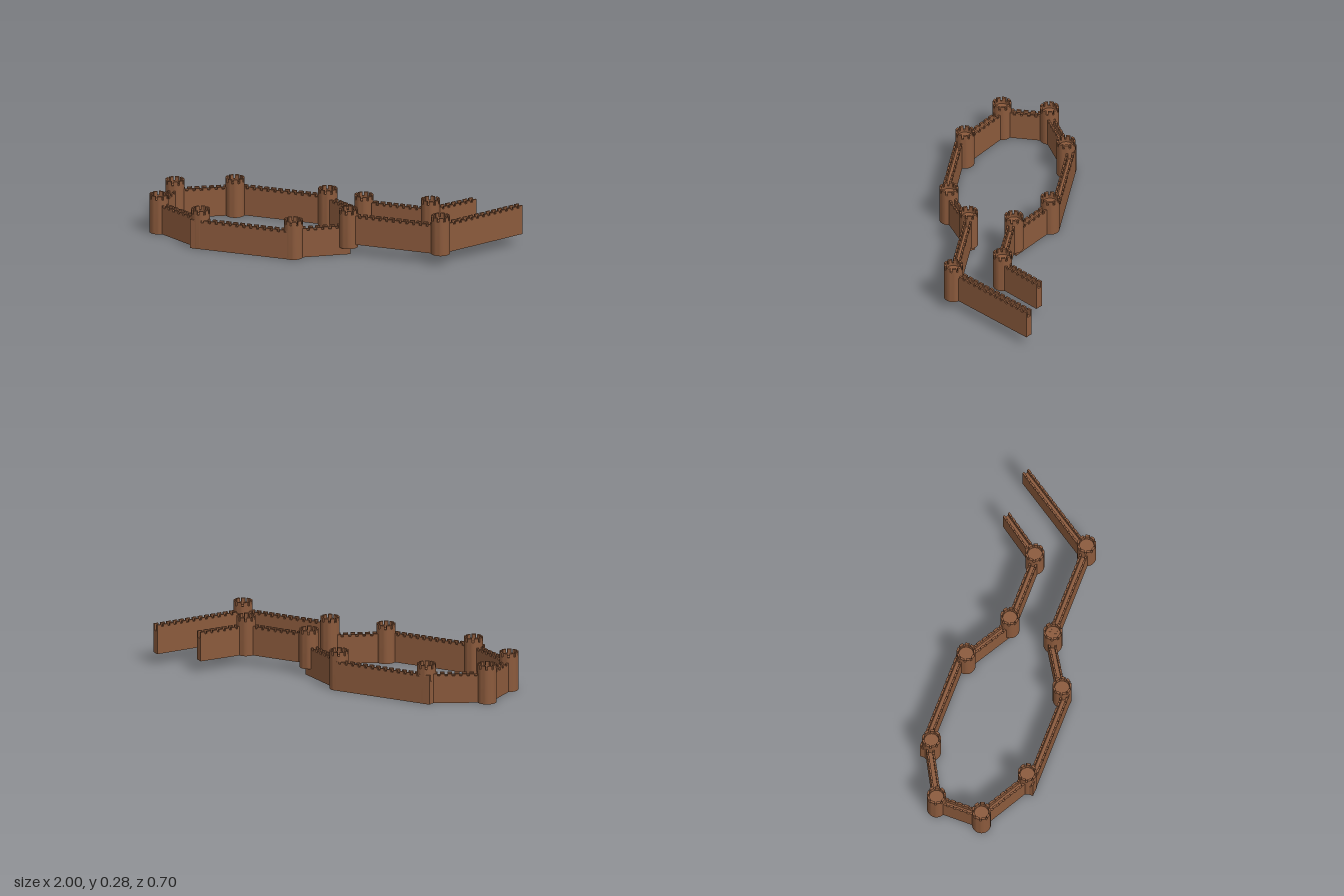
import * as THREE from 'three';
import { mergeGeometries, toCreasedNormals } from 'three/addons/utils/BufferGeometryUtils.js';

const stone = new THREE.MeshStandardMaterial({ color: 0x8b5a3c });
stone.name = 'brown stone';

const WIDTH = 0.043;    // wall thickness
const PARAPET = 0.011;  // parapet thickness
const WALL_H = 0.165;
const WALK_H = 0.128;   // walkway height above the wall base
const CRENEL = 0.012;   // depth of the wall notches
const RADIUS = 0.052;

// Straight wall with a sunken walkway and two crenellated parapets
function makeWall(name, [x0, z0], [x1, z1], base) {
  const length = Math.hypot(x1 - x0, z1 - z0);
  const h = WIDTH / 2, i = h - PARAPET, top = WALL_H - CRENEL;
  const section = new THREE.Shape([
    [-h, 0], [h, 0], [h, top], [i, top], [i, WALK_H], [-i, WALK_H], [-i, top], [-h, top],
  ].map(([x, y]) => new THREE.Vector2(x, y)));
  const parts = [new THREE.ExtrudeGeometry(section, { depth: length, bevelEnabled: false })];

  // Merlons: one at each end, evenly spaced between
  const gaps = Math.max(1, Math.round((length - 0.026) / 0.039));
  const merlon = 0.026;
  const pitch = (length - merlon) / gaps;
  for (let k = 0; k <= gaps; k++) {
    for (const side of [-1, 1]) {
      const block = new THREE.BoxGeometry(PARAPET, CRENEL, merlon);
      block.translate(side * (h - PARAPET / 2), top + CRENEL / 2, merlon / 2 + k * pitch);
      parts.push(block.toNonIndexed());
    }
  }
  const mesh = new THREE.Mesh(mergeGeometries(parts), stone);
  mesh.name = name;
  mesh.position.set(x0, base, z0);
  mesh.rotation.y = Math.atan2(x1 - x0, z1 - z0);
  return mesh;
}

// Round tower with a hollow top and a ring of merlons
function makeTower(name, [x, z], base) {
  const height = 0.217, notch = 0.022, floor = height - 0.037;
  const inner = RADIUS - 0.012, rim = height - notch, merlons = 9;
  const profile = [
    [0, 0], [RADIUS, 0], [RADIUS, rim], [inner, rim], [inner, floor], [0, floor],
  ].map(([r, y]) => new THREE.Vector2(r, y));
  const parts = [toCreasedNormals(new THREE.LatheGeometry(profile, 36), 0.6)];

  const step = (Math.PI * 2) / merlons, span = step * 0.7;
  for (let k = 0; k < merlons; k++) {
    const a = k * step;
    const sector = new THREE.Shape();
    sector.absarc(0, 0, RADIUS, a, a + span, false);
    sector.absarc(0, 0, inner, a + span, a, true);
    const block = new THREE.ExtrudeGeometry(sector, { depth: notch, bevelEnabled: false, curveSegments: 4 });
    block.rotateX(-Math.PI / 2).translate(0, rim, 0);
    parts.push(toCreasedNormals(block, 0.6));
  }
  const mesh = new THREE.Mesh(mergeGeometries(parts), stone);
  mesh.name = name;
  mesh.position.set(x, base, z);
  return mesh;
}

export function createModel() {
  const castle = new THREE.Group();
  castle.name = 'castleWalls';
  const LOW = 0, MID = 0.043, HIGH = 0.063;

  // Towers of the lower ward, the passage and the raised ward
  const towers = [
    ['endTowerBack', [-0.948, -0.122], LOW],
    ['endTowerFront', [-0.948, 0.14], LOW],
    ['outerTowerBack', [-0.65, -0.263], LOW],
    ['outerTowerFront', [-0.65, 0.296], LOW],
    ['innerTowerBack', [-0.113, -0.263], LOW],
    ['innerTowerFront', [-0.113, 0.296], LOW],
    ['passageTowerBack', [0.152, -0.107], MID],
    ['passageTowerFront', [0.152, 0.143], MID],
    ['upperTowerBack', [0.538, -0.107], HIGH],
    ['upperTowerFront', [0.684, 0.14], HIGH],
  ];
  for (const [name, at, base] of towers) castle.add(makeTower(name, at, base));

  // Lower walls, then raised walls
  const walls = [
    ['endWall', [-0.948, -0.122], [-0.948, 0.14], LOW],
    ['cornerWallBack', [-0.92, -0.132], [-0.65, -0.278], LOW],
    ['cornerWallFront', [-0.92, 0.152], [-0.65, 0.305], LOW],
    ['longWallBack', [-0.695, -0.293], [-0.11, -0.293], LOW],
    ['longWallFront', [-0.695, 0.324], [-0.11, 0.324], LOW],
    ['slantWallBack', [-0.11, -0.258], [0.153, -0.103], LOW],
    ['slantWallFront', [-0.11, 0.291], [0.153, 0.128], LOW],
    ['upperWallBack', [0.208, -0.099], [0.538, -0.099], HIGH],
    ['upperWallFront', [0.152, 0.14], [0.684, 0.14], HIGH],
    ['wingWallBack', [0.54, -0.1], [0.708, -0.338], HIGH],
    ['wingWallFront', [0.684, 0.122], [0.98, -0.327], HIGH],
  ];
  for (const [name, from, to, base] of walls) castle.add(makeWall(name, from, to, base));

  return castle;
}
